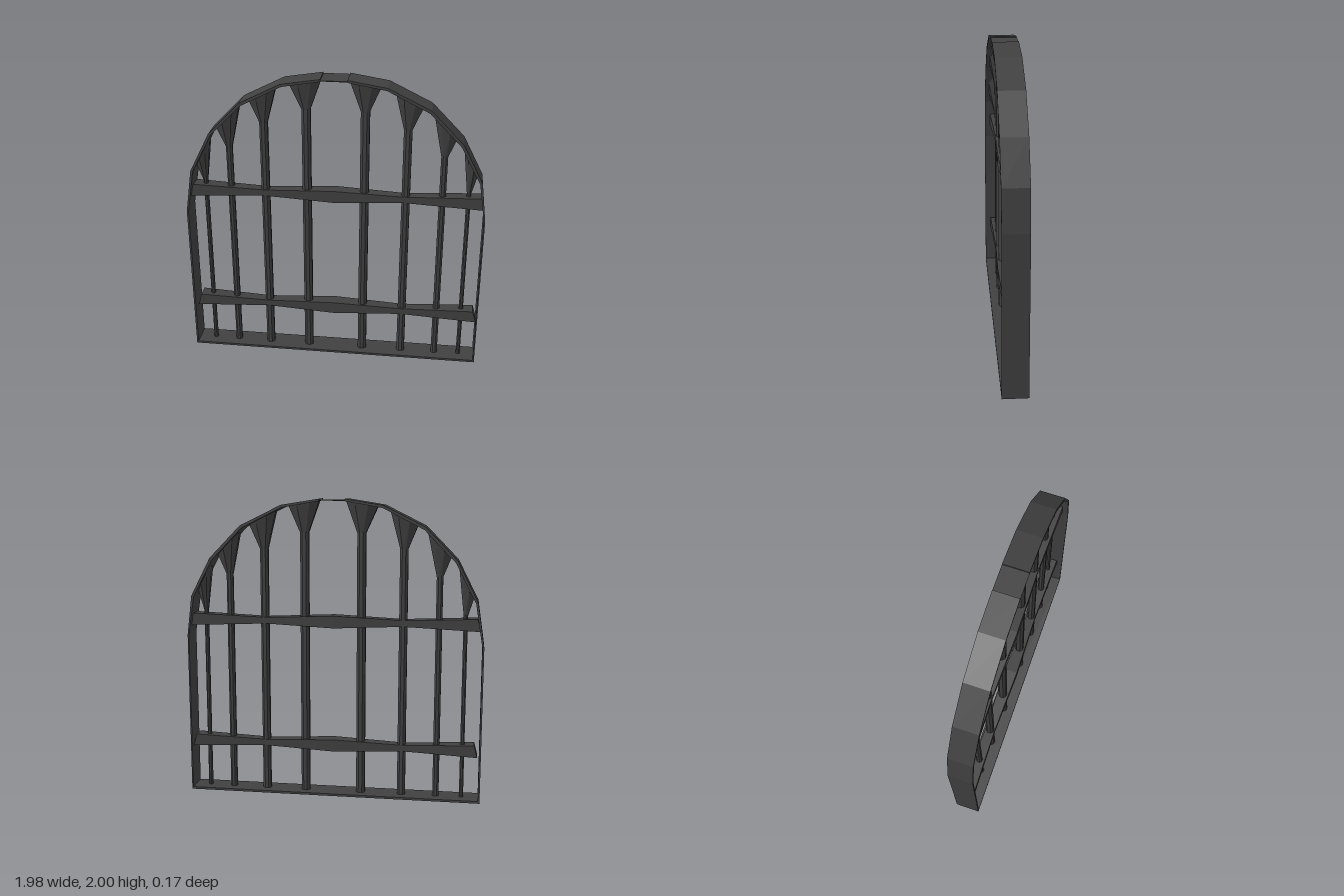
import * as THREE from 'three';

const iron = new THREE.MeshStandardMaterial({ color: 0x404040, flatShading: true });

// Solid skinned through rings of equal point count, capped at both ends.
function loft(rings, name) {
  const n = rings[0].length, last = (rings.length - 1) * n, index = [];
  for (let r = 0; r < rings.length - 1; r++) {
    for (let i = 0; i < n; i++) {
      const a = r * n + i, b = r * n + (i + 1) % n;
      index.push(a, a + n, b, b, a + n, b + n);
    }
  }
  for (let i = 1; i < n - 1; i++) {
    index.push(0, i, i + 1, last, last + i + 1, last + i);
  }
  const geo = new THREE.BufferGeometry();
  geo.setAttribute('position', new THREE.Float32BufferAttribute(rings.flat(2), 3));
  geo.setIndex(index);
  geo.computeVertexNormals();
  const mesh = new THREE.Mesh(geo, iron);
  mesh.name = name;
  return mesh;
}

// Eight-sided ring around a vertical axis; slope tilts it along x.
function octagon(x, y, hx, hz, slope = 0) {
  return Array.from({ length: 8 }, (_, i) => {
    const a = (i + 0.5) * Math.PI / 4, k = 1 / Math.cos(Math.PI / 8);
    const dx = Math.cos(a) * k * hx;
    return [x + dx, y + slope * dx, Math.sin(a) * k * hz];
  });
}

// Upright bar with a head that flares out to meet the arch.
function makeBar([x, half, neck, x0, y0, x1, y1], i) {
  const slope = (y1 - y0) / (x1 - x0);
  return loft([
    octagon(x, 0.01, half, half),
    octagon(x, neck, half, half),
    octagon((x0 + x1) / 2, (y0 + y1) / 2, (x1 - x0) / 2, 0.06, slope),
  ], 'uprightBar' + (i + 1));
}

// Rail that swells at its middle and at both ends.
function makeRail(y, name) {
  const sections = [
    [-0.955, 0.041, 0.046, 0.011], [-0.46, 0.021, 0.034, 0], [0, 0.041, 0.046, 0],
    [0.46, 0.021, 0.034, 0], [0.97, 0.041, 0.046, -0.012],
  ];
  return loft(sections.map(([x, h, d, lean]) => [
    [x + lean, y + h, d], [x + lean, y + h, -d], [x - lean, y - h, -d], [x - lean, y - h, d],
  ]), name);
}

export function createModel() {
  const model = new THREE.Group();
  model.name = 'archedGrille';

  // Thin, deep band forming the arched frame
  const outer = [
    [-0.08, 2], [-0.33, 1.96], [-0.6, 1.825], [-0.81, 1.61], [-0.945, 1.345], [-0.99, 1.05], [-0.99, 0],
    [0.99, 0], [0.99, 1.09], [0.957, 1.355], [0.825, 1.61], [0.615, 1.825], [0.34, 1.96], [0.09, 2],
  ];
  const inner = [
    [0.09, 1.985], [0.335, 1.943], [0.605, 1.808], [0.81, 1.597], [0.941, 1.35], [0.981, 1.09], [0.981, 0.015],
    [-0.978, 0.015], [-0.978, 1.05], [-0.93, 1.34], [-0.795, 1.6], [-0.593, 1.806], [-0.325, 1.943], [-0.08, 1.985],
  ];
  const shape = new THREE.Shape([...outer, ...inner].map(([x, y]) => new THREE.Vector2(x, y)));
  const frameGeo = new THREE.ExtrudeGeometry(shape, { depth: 0.168, bevelEnabled: false });
  frameGeo.translate(0, 0, -0.084);
  const frame = new THREE.Mesh(frameGeo, iron);
  frame.name = 'archedFrame';
  model.add(frame);

  // Thin plate closing the crown of the arch
  const crown = new THREE.Mesh(new THREE.BoxGeometry(0.172, 0.005, 0.168), iron);
  crown.position.set(0.005, 1.99, 0);
  crown.name = 'crownPlate';
  model.add(crown);

  // Bars: x, half width, neck height, then left and right corners of the head
  [
    [-0.866, 0.014, 1.25, -0.92, 1.38, -0.815, 1.58],
    [-0.694, 0.021, 1.5, -0.77, 1.64, -0.61, 1.8],
    [-0.46, 0.027, 1.68, -0.55, 1.835, -0.37, 1.925],
    [-0.182, 0.029, 1.78, -0.29, 1.955, -0.08, 1.988],
    [0.197, 0.029, 1.78, 0.095, 1.988, 0.3, 1.955],
    [0.47, 0.027, 1.67, 0.385, 1.92, 0.567, 1.835],
    [0.708, 0.022, 1.5, 0.63, 1.79, 0.782, 1.63],
    [0.877, 0.014, 1.25, 0.828, 1.575, 0.925, 1.39],
  ].forEach((bar, i) => model.add(makeBar(bar, i)));

  model.add(makeRail(1.193, 'upperRail'), makeRail(0.345, 'lowerRail'));
  return model;
}
